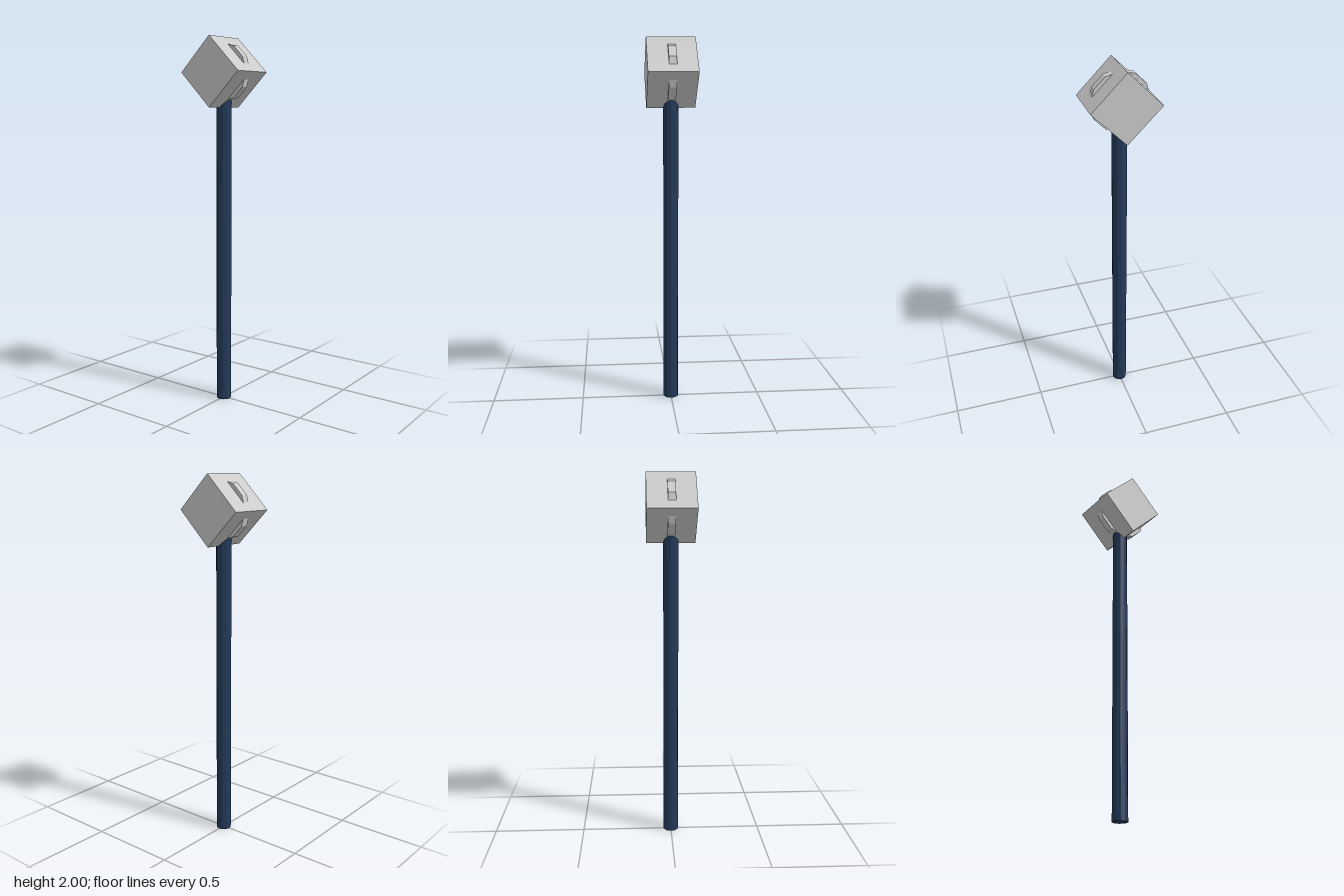
import * as THREE from 'three';

export function createModel() {
  const group = new THREE.Group();
  const grey = new THREE.MeshStandardMaterial({ color: 0xcccccc, flatShading: true });
  const navy = new THREE.MeshStandardMaterial({ color: 0x233a5a, flatShading: true });
  const headY = 1.815;

  const add = (name, geometry, material, y) => {
    const mesh = new THREE.Mesh(geometry, material);
    mesh.name = name;
    mesh.position.y = y;
    group.add(mesh);
    return mesh;
  };

  // Straight faceted handle, its top buried in the head
  const handleTop = 1.76;
  add('handle', new THREE.CylinderGeometry(0.041, 0.041, handleTop, 12), navy, handleTop / 2);

  // Block head standing on one edge
  const head = add('head', new THREE.BoxGeometry(0.262, 0.262, 0.263), grey, headY);
  head.rotation.z = Math.PI / 4;

  // Twelve-sided band that pokes out through the four slanted faces
  const band = add('band', new THREE.CylinderGeometry(0.156, 0.156, 0.042, 12), grey, headY);
  band.rotation.x = Math.PI / 2;

  return group;
}
